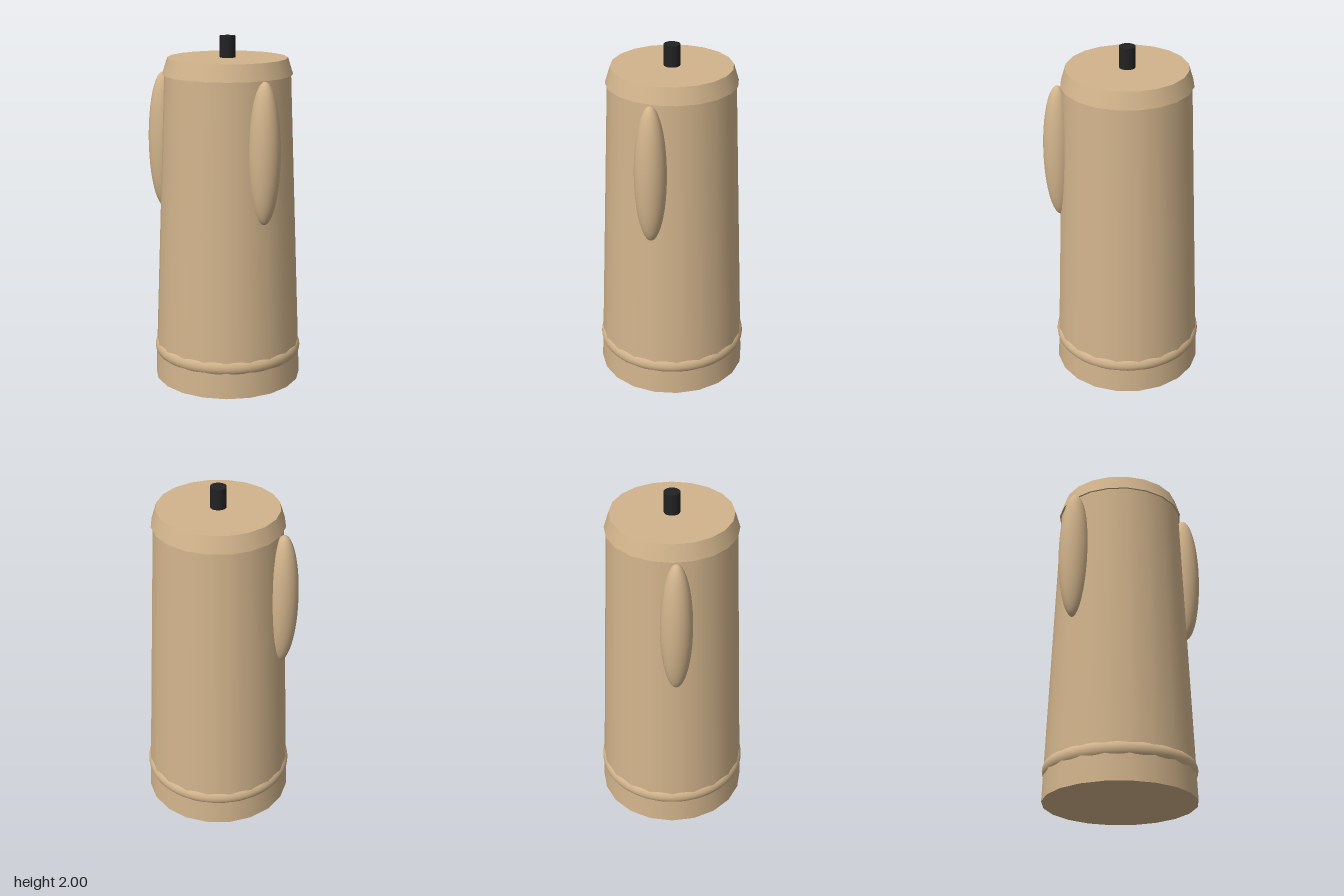
import * as THREE from 'three';

export function createModel() {
  const model = new THREE.Group();
  model.name = 'taperedCanister';

  const tan = new THREE.MeshStandardMaterial({ color: 0xd2b48c });
  tan.name = 'tan';
  const black = new THREE.MeshStandardMaterial({ color: 0x222222 });
  black.name = 'black';

  const add = (name, geometry, material, x, y, z) => {
    const mesh = new THREE.Mesh(geometry, material);
    mesh.name = name;
    mesh.position.set(x, y, z);
    model.add(mesh);
    return mesh;
  };

  // Tapered cylinder standing between two heights
  const taper = (name, rTop, rBottom, y0, y1, sides, material) =>
    add(name, new THREE.CylinderGeometry(rTop, rBottom, y1 - y0, sides), material, 0, (y0 + y1) / 2, 0);

  taper('body', 0.357, 0.428, 0, 1.79, 20, tan);
  taper('lid', 0.339, 0.368, 1.787, 1.88, 20, tan);
  taper('topRod', 0.045, 0.045, 1.87, 2, 20, black);

  // Ring sunk into the body so that only its outer edge shows
  const ring = new THREE.TorusGeometry(0.375, 0.054, 24, 80);
  ring.rotateX(Math.PI / 2);
  add('baseRing', ring, tan, 0, 0.178, 0);

  // Long side pods, half buried in the body
  for (const side of [1, -1]) {
    const pod = new THREE.SphereGeometry(1, 32, 24);
    pod.scale(0.089, 0.397, 0.089);
    add(side > 0 ? 'leftPod' : 'rightPod', pod, tan, side * 0.356, 1.39, 0.14);
  }

  return model;
}
